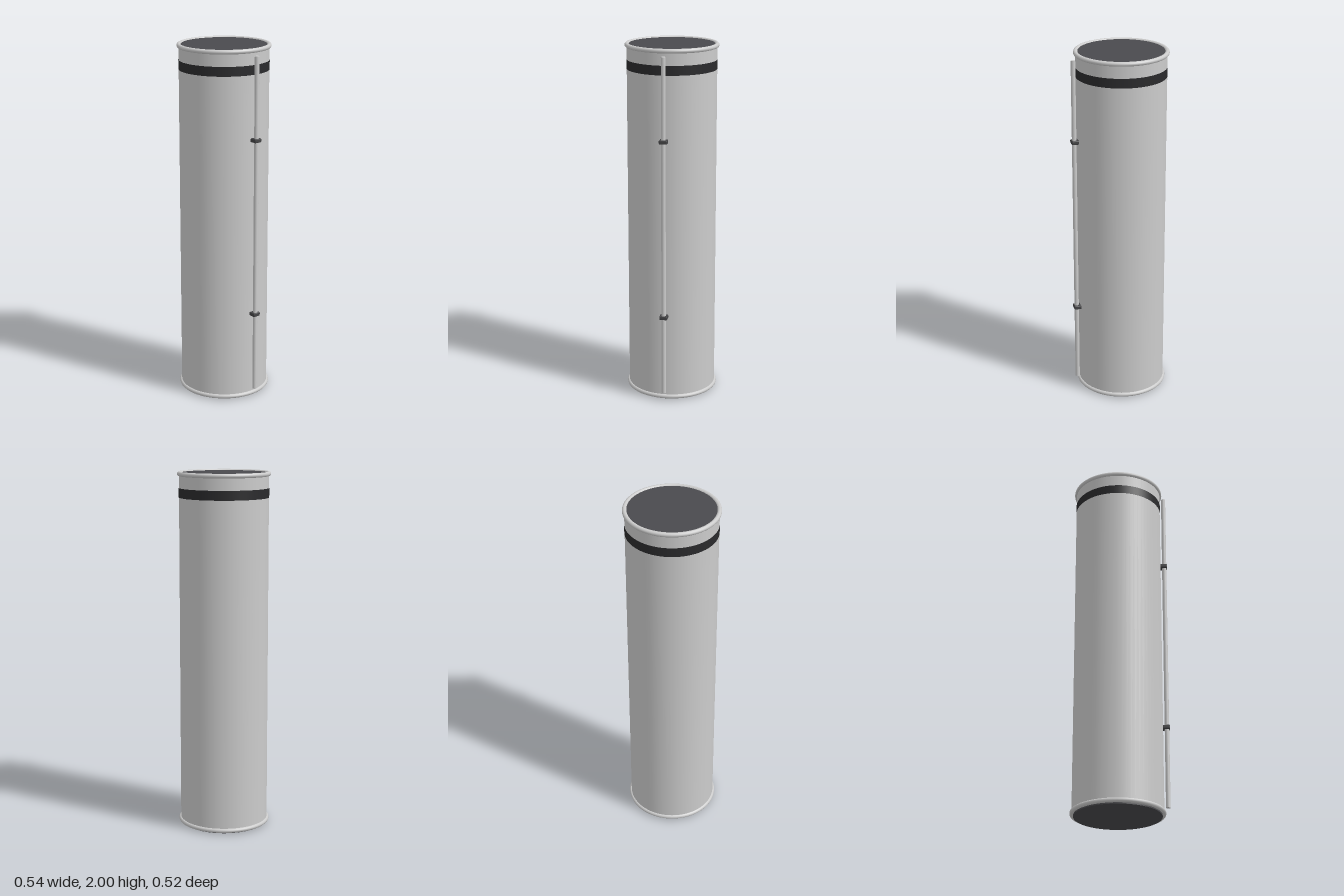
import * as THREE from 'three';
import { RoundedBoxGeometry } from 'three/addons/geometries/RoundedBoxGeometry.js';

const AXIS_X = -0.015; // tube axis, offset to leave room for the side rod
const ROD_X = 0.253;

const grey = new THREE.MeshStandardMaterial({ color: 0xcccccc });
const capDark = new THREE.MeshStandardMaterial({ color: 0x4a4a4e });
const bandDark = new THREE.MeshStandardMaterial({ color: 0x2a2a2c });
const clampDark = new THREE.MeshStandardMaterial({ color: 0x444446 });

export function createModel() {
  const model = new THREE.Group();

  const add = (name, geometry, material, x, y) => {
    const mesh = new THREE.Mesh(geometry, material);
    mesh.name = name;
    mesh.position.set(x, y, 0);
    model.add(mesh);
    return mesh;
  };
  // Upright cylinder between two heights
  const column = (name, radius, y0, y1, material, x = AXIS_X, sides = 64, open = false) =>
    add(name, new THREE.CylinderGeometry(radius, radius, y1 - y0, sides, 1, open), material, x, (y0 + y1) / 2);

  // Main tube and the dark stripe near its top
  column('body', 0.247, 0.01, 1.985, grey);
  column('stripe', 0.2485, 1.858, 1.91, bandDark, AXIS_X, 64, true);

  // Rolled rims and end caps
  for (const [end, rimY, y0, y1] of [['top', 1.987, 1.98, 1.993], ['bottom', 0.0175, 0, 0.02]]) {
    const rim = new THREE.TorusGeometry(0.2455, 0.0125, 12, 64).rotateX(Math.PI / 2);
    add(end + 'Rim', rim, grey, AXIS_X, rimY);
    column(end + 'Cap', 0.238, y0, y1, capDark);
  }

  // Side rod held by two clamps
  column('rod', 0.0125, 0.05, 1.96, grey, ROD_X, 20);
  for (const [name, y] of [['upperClamp', 1.505], ['lowerClamp', 0.505]]) {
    add(name, new RoundedBoxGeometry(0.042, 0.022, 0.045, 2, 0.005), clampDark, 0.249, y);
  }

  return model;
}
